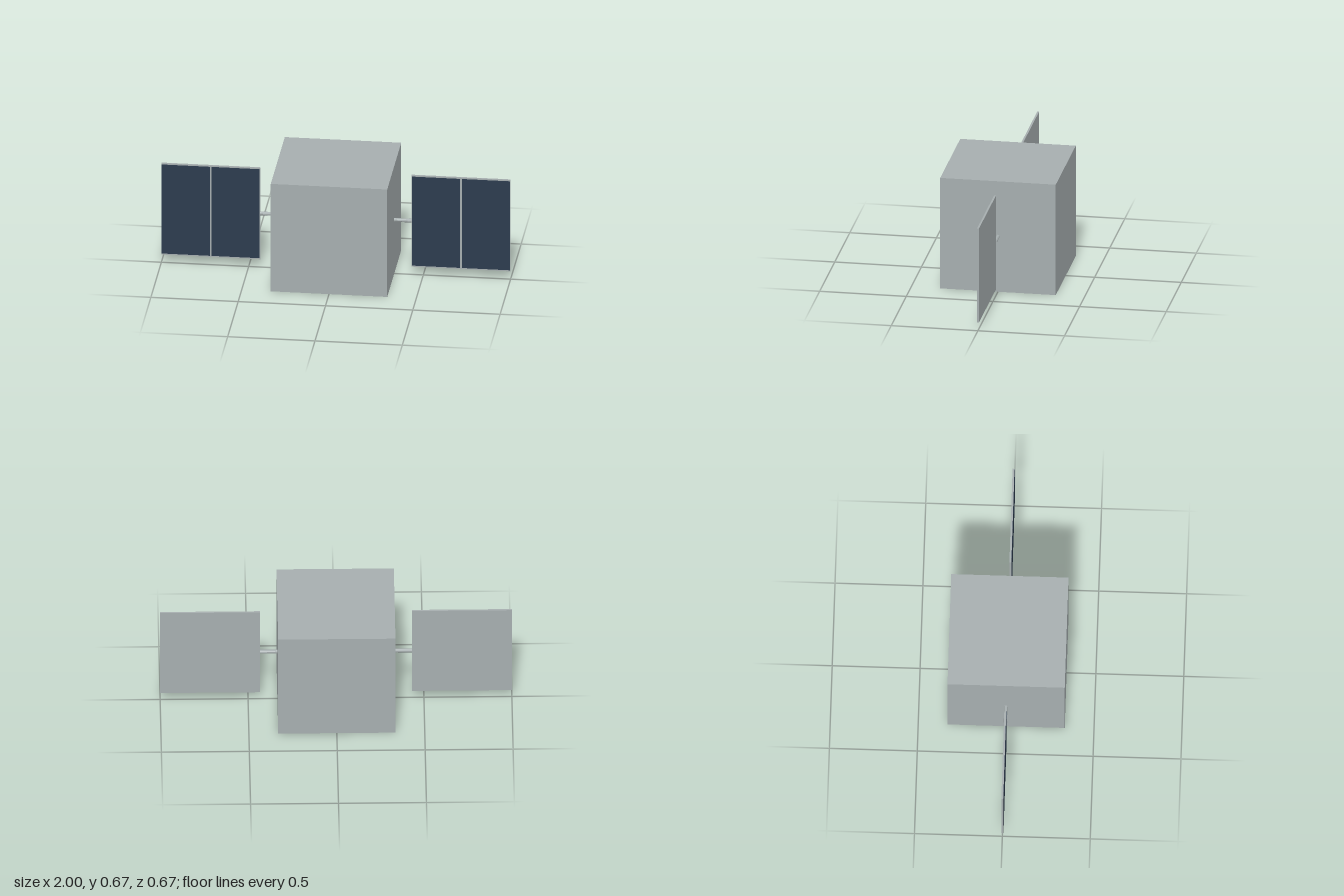
import * as THREE from 'three';

export function createModel() {
  const model = new THREE.Group();
  model.name = 'satellite';
  const metal = new THREE.MeshStandardMaterial({ name: 'light grey metal', color: 0xa6aeaf });
  const cellBlue = new THREE.MeshStandardMaterial({ name: 'dark blue cells', color: 0x2c3b4e });
  const rodMetal = metal.clone();
  rodMetal.name = 'grey rod metal';
  rodMetal.flatShading = true;

  const add = (parent, name, geometry, material, x, y, z) => {
    const mesh = new THREE.Mesh(geometry, material);
    mesh.name = name;
    mesh.position.set(x, y, z);
    parent.add(mesh);
    return mesh;
  };

  const size = 0.667, mid = size / 2;
  const panelSize = 0.567, panelX = 1 - panelSize / 2;

  // Cubic body
  add(model, 'body', new THREE.BoxGeometry(size, size, size), metal, 0, mid, 0);

  // One wing on each side: rod, backing panel and two cell plates facing front
  for (const side of [1, -1]) {
    const wing = new THREE.Group();
    wing.name = side > 0 ? 'leftWing' : 'rightWing';
    model.add(wing);

    const rod = add(wing, 'rod', new THREE.CylinderGeometry(0.011, 0.011, 0.1, 12), rodMetal,
      side * 0.3833, mid, 0);
    rod.rotation.z = Math.PI / 2;

    add(wing, 'panel', new THREE.BoxGeometry(panelSize, panelSize, 0.011), metal, side * panelX, mid, -0.0005);
    for (const half of [1, -1]) {
      add(wing, 'cells', new THREE.BoxGeometry(0.275, 0.552, 0.002), cellBlue,
        side * panelX + half * 0.143, mid, 0.0055);
    }
  }
  return model;
}
